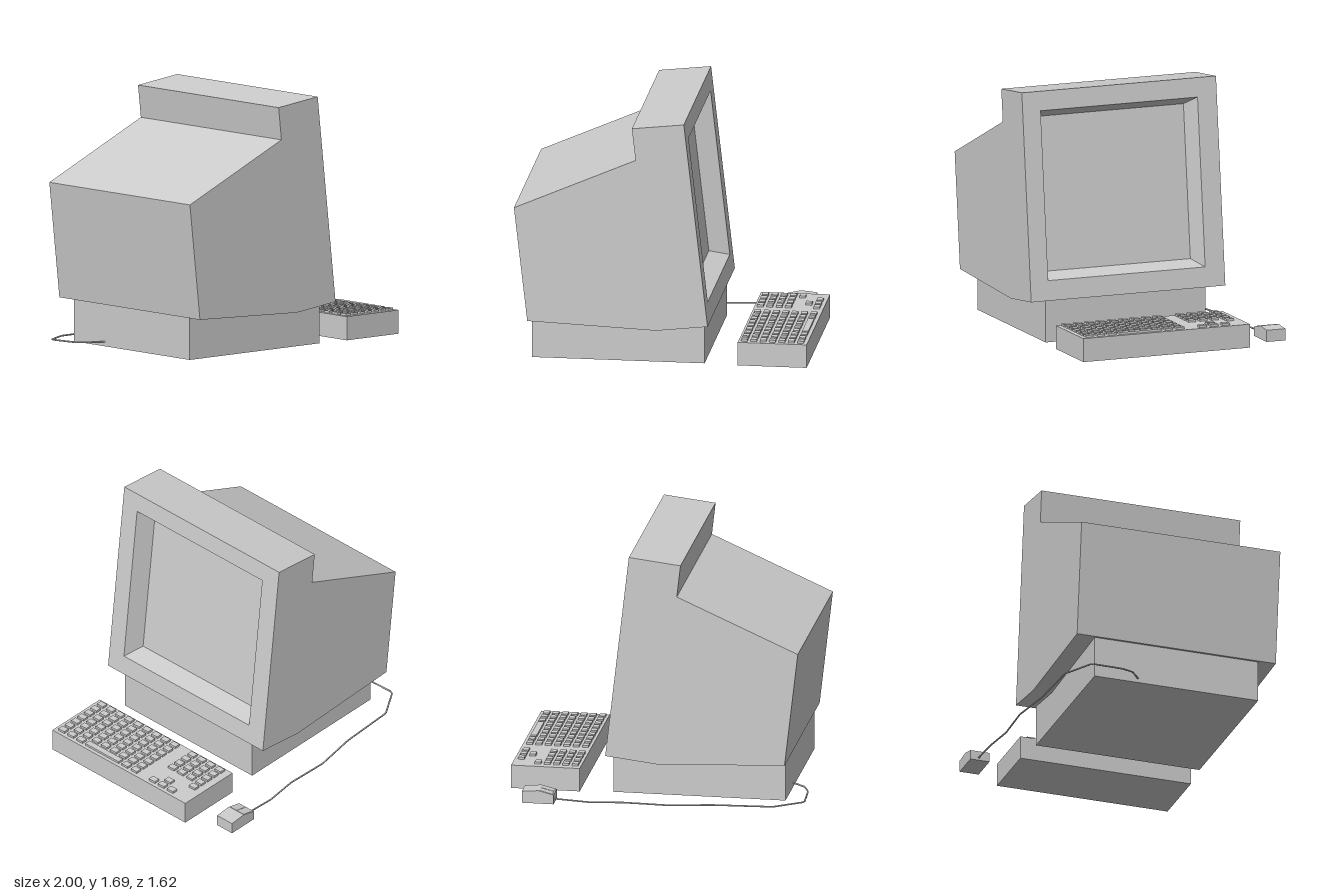
import * as THREE from 'three';

const material = new THREE.MeshStandardMaterial({ color: 0xcccccc, flatShading: true });

function addMesh(parent, name, geometry) {
  const mesh = new THREE.Mesh(geometry, material);
  mesh.name = name;
  parent.add(mesh);
  return mesh;
}

// Box given by its limits on each axis
function addBox(parent, name, [x0, x1], [y0, y1], [z0, z1]) {
  const mesh = addMesh(parent, name, new THREE.BoxGeometry(x1 - x0, y1 - y0, z1 - z0));
  mesh.position.set((x0 + x1) / 2, (y0 + y1) / 2, (z0 + z1) / 2);
  return mesh;
}

// Prism: an x-y outline extruded between two z values
function addPrism(parent, name, outline, z0, z1) {
  const shape = new THREE.Shape(outline.map(([x, y]) => new THREE.Vector2(x, y)));
  const geometry = new THREE.ExtrudeGeometry(shape, { depth: z1 - z0, bevelEnabled: false });
  return addMesh(parent, name, geometry.translate(0, 0, z0));
}

// Geometry from convex polygons, each a counter-clockwise list of corners
function polygonGeometry(polygons) {
  const positions = [];
  for (const p of polygons) {
    for (let i = 1; i < p.length - 1; i++) positions.push(...p[0], ...p[i], ...p[i + 1]);
  }
  const geometry = new THREE.BufferGeometry();
  geometry.setAttribute('position', new THREE.Float32BufferAttribute(positions, 3));
  geometry.computeVertexNormals();
  return geometry;
}

function createMonitor() {
  const monitor = new THREE.Group();
  monitor.name = 'monitor';
  const z0 = -0.6, z1 = 0.81;
  // Side outline, starting and ending on the tilted screen face
  const outline = [[0.185, 1.69], [-0.165, 1.65], [-0.14, 1.43], [-0.96, 1.07],
    [-0.87, 0.285], [0, 0.25], [0.345, 0.29]];
  const polygons = [];

  // Top, back and underside
  for (let i = 0; i < outline.length - 1; i++) {
    const a = outline[i], b = outline[i + 1];
    polygons.push([[...a, z1], [...a, z0], [...b, z0], [...b, z1]]);
  }
  // Two flat sides
  const points = outline.map(([x, y]) => new THREE.Vector2(x, y));
  for (const [a, b, c] of THREE.ShapeUtils.triangulateShape(points, [])) {
    polygons.push([a, b, c].map((i) => [...outline[i], z1]));
    polygons.push([c, b, a].map((i) => [...outline[i], z0]));
  }

  // Rectangular rings on the tilted face: z limits, limits up the slope, depth
  const low = new THREE.Vector2(0.345, 0.29);
  const up = new THREE.Vector2(0.185, 1.69).sub(low);
  const height = up.length();
  up.normalize();
  const ring = (za, zb, ta, tb, depth) =>
    [[zb, ta], [za, ta], [za, tb], [zb, tb]].map(([z, t]) =>
      [low.x + up.x * t - up.y * depth, low.y + up.y * t + up.x * depth, z]);
  const rings = [
    ring(z0, z1, 0, height, 0),
    ring(-0.46, 0.68, 0.136, 1.278, 0),
    ring(-0.41, 0.63, 0.186, 1.228, 0.13),
  ];
  // Bezel and sloping recess walls
  for (let r = 0; r < 2; r++) {
    for (let i = 0; i < 4; i++) {
      const j = (i + 1) % 4;
      polygons.push([rings[r][i], rings[r][j], rings[r + 1][j], rings[r + 1][i]]);
    }
  }
  addMesh(monitor, 'monitorHousing', polygonGeometry(polygons));
  addMesh(monitor, 'screen', polygonGeometry([rings[2]]));
  addBox(monitor, 'base', [-0.855, 0.31], [0, 0.285], [-0.47, 0.69]);
  return monitor;
}

function createKeyboard() {
  const keyboard = new THREE.Group();
  keyboard.name = 'keyboard';
  addBox(keyboard, 'keyboardCase', [0.535, 1], [0, 0.16], [-0.5, 0.71]);

  const addKey = (name, x, za, zb) =>
    addBox(keyboard, name, [x - 0.021, x + 0.021], [0.155, 0.175], [za, zb]);
  // Columns used in each row: keypad first, then the main block
  const all = [0, 1, 2, 3, 4, 5, 6], short = [0, 1, 2, 3, 4, 5];
  const pad = [[0, 1, 2, 3, 4], [0, 1, 2, 3, 6], [0, 1, 2, 3, 5, 6], [0, 1, 2, 3, 6]];
  const main = [all, all, short, short, short, short, all, all, all];
  const addRows = (rows, start) => rows.forEach((columns, row) => {
    const z = start + row * 0.0825;
    for (const c of columns) addKey('key', 0.575 + c * 0.0632, z - 0.027, z + 0.027);
  });
  addRows(pad, -0.42);
  addRows(main, -0.008);
  addKey('spaceBar', 0.954, 0.13, 0.434);
  return keyboard;
}

function createMouse() {
  const mouse = new THREE.Group();
  mouse.name = 'mouse';
  const z0 = -0.81, z1 = -0.675;
  addPrism(mouse, 'mouseBody',
    [[0.66, 0], [0.875, 0], [0.875, 0.08], [0.765, 0.09], [0.66, 0.065]], z0, z1);
  // Two buttons on the slope towards the cable
  const button = [[0.668, 0.06], [0.755, 0.081], [0.755, 0.09], [0.668, 0.069]];
  addPrism(mouse, 'mouseButton', button, z0 + 0.006, z0 + 0.064);
  addPrism(mouse, 'mouseButton', button, z1 - 0.064, z1 - 0.006);

  // Cable lying loosely behind the monitor
  const path = new THREE.CurvePath();
  const points = [[0.67, 0.02, -0.75], [0.43, 0.008, -0.75], [0.2, 0.008, -0.72],
    [-0.1, 0.008, -0.73], [-0.4, 0.01, -0.68], [-0.8, 0.012, -0.66], [-0.994, 0.018, -0.54],
    [-0.982, 0.022, -0.32], [-0.945, 0.028, -0.235], [-0.85, 0.03, -0.16]]
    .map((p) => new THREE.Vector3(...p));
  for (let i = 0; i < points.length - 1; i++) {
    path.add(new THREE.LineCurve3(points[i], points[i + 1]));
  }
  addMesh(mouse, 'mouseCable', new THREE.TubeGeometry(path, 72, 0.006, 5, false));
  return mouse;
}

export function createModel() {
  const model = new THREE.Group();
  model.name = 'desktopComputer';
  model.add(createMonitor(), createKeyboard(), createMouse());
  return model;
}
